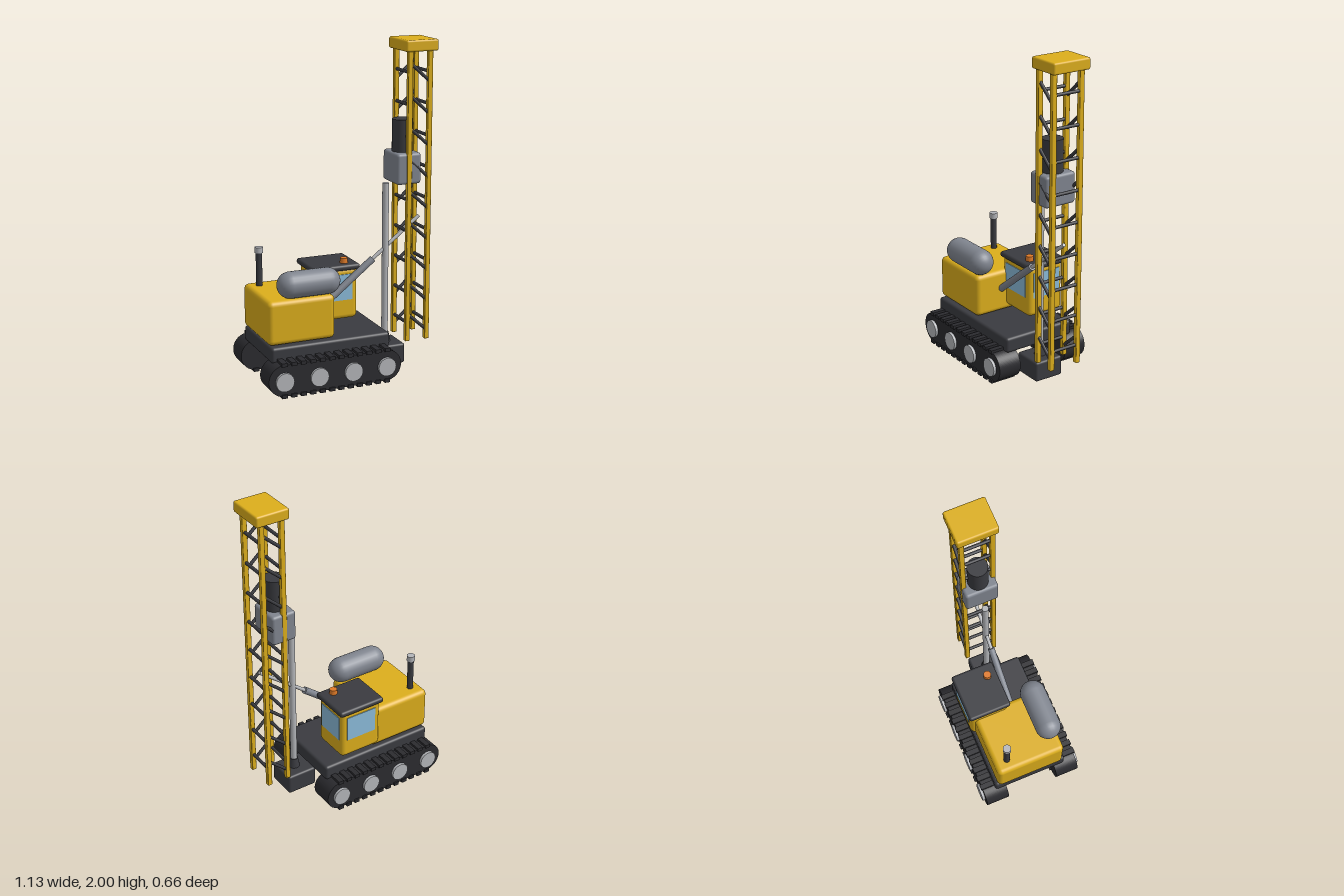
import * as THREE from 'three';
import { RoundedBoxGeometry } from 'three/addons/geometries/RoundedBoxGeometry.js';

const mat = (color) => new THREE.MeshStandardMaterial({ color });
const yellow = mat(0xdcae1c), dark = mat(0x3a3b40), black = mat(0x2b2b2f), grey = mat(0x80858f);
const silver = mat(0xb4b6ba), glass = mat(0x8bbbd9), orange = mat(0xe07b28);

export function createModel() {
  const model = new THREE.Group();
  model.name = 'drillingRig';

  const add = (name, geometry, material, parent = model) => {
    const mesh = new THREE.Mesh(geometry, material);
    mesh.name = name;
    parent.add(mesh);
    return mesh;
  };
  const group = (name) => {
    const g = new THREE.Group();
    g.name = name;
    model.add(g);
    return g;
  };
  // Box given by its extents, with rounded edges when r > 0
  const box = (name, [x0, x1], [y0, y1], [z0, z1], r, material, parent) => {
    const size = [x1 - x0, y1 - y0, z1 - z0];
    const geometry = r ? new RoundedBoxGeometry(...size, 3, r) : new THREE.BoxGeometry(...size);
    const mesh = add(name, geometry, material, parent);
    mesh.position.set((x0 + x1) / 2, (y0 + y1) / 2, (z0 + z1) / 2);
    return mesh;
  };
  // Cylinder running from point a to point b
  const rod = (name, a, b, r0, r1, material, parent, sides = 24) => {
    const from = new THREE.Vector3(...a), to = new THREE.Vector3(...b);
    const dir = to.clone().sub(from);
    const mesh = add(name, new THREE.CylinderGeometry(r1, r0, dir.length(), sides), material, parent);
    mesh.position.copy(from).add(to).multiplyScalar(0.5);
    mesh.quaternion.setFromUnitVectors(new THREE.Vector3(0, 1, 0), dir.normalize());
    return mesh;
  };

  // Crawler tracks: stadium belt, grouser pads and four road wheels per side
  const rear = -0.473, front = 0.173, cy = 0.105, r = 0.095;
  const belt = new THREE.Shape();
  belt.absarc(front, cy, r, -Math.PI / 2, Math.PI / 2, false);
  belt.absarc(rear, cy, r, Math.PI / 2, Math.PI * 1.5, false);
  for (const side of [1, -1]) {
    const track = group(side > 0 ? 'leftTrack' : 'rightTrack');
    const beltGeometry = new THREE.ExtrudeGeometry(belt, { depth: 0.148, bevelEnabled: false, curveSegments: 20 });
    add('belt', beltGeometry, black, track).position.z = side * 0.239 - 0.074;
    for (let i = 0; i < 12; i++) {
      const x = rear + i * 0.0591;
      for (const y of [0, 0.192]) {
        box('trackPad', [x - 0.017, x + 0.017], [y, y + 0.022], [side * 0.239 - 0.083, side * 0.239 + 0.083], 0, black, track);
      }
    }
    for (let i = 0; i < 4; i++) {
      const x = rear + (i * (front - rear)) / 3;
      rod('roadWheel', [x, 0.1, side * 0.29], [x, 0.1, side * 0.33], 0.056, 0.056, silver, track);
    }
  }

  // Chassis and mast foot
  box('chassis', [-0.52, 0.23], [0.185, 0.28], [-0.236, 0.236], 0.018, dark);
  box('mastFoot', [0.19, 0.383], [0.03, 0.155], [-0.057, 0.133], 0.015, dark);

  // Engine housing, fuel tank and exhaust
  box('engineHousing', [-0.53, -0.113], [0.285, 0.55], [-0.22, 0.218], 0.03, yellow);
  const tank = add('tank', new THREE.CapsuleGeometry(0.079, 0.23, 8, 24), grey);
  tank.rotation.z = Math.PI / 2;
  tank.position.set(-0.263, 0.628, 0.168);
  rod('exhaustPipe', [-0.456, 0.53, -0.137], [-0.456, 0.755, -0.137], 0.019, 0.019, dark);
  rod('exhaustCap', [-0.456, 0.752, -0.137], [-0.456, 0.787, -0.137], 0.025, 0.025, silver);

  // Cab with windows, roof and beacon
  const cab = group('cab');
  box('cabBody', [-0.155, 0.124], [0.315, 0.635], [-0.246, 0.002], 0.03, yellow, cab);
  box('frontWindow', [0.1, 0.128], [0.437, 0.597], [-0.22, -0.03], 0, glass, cab);
  for (const z of [0.002, -0.246]) {
    box('sideWindow', [-0.115, 0.087], [0.437, 0.597], [z - 0.004, z + 0.004], 0, glass, cab);
  }
  box('cabRoof', [-0.172, 0.138], [0.62, 0.656], [-0.26, 0.012], 0.016, dark, cab);
  rod('beacon', [0.055, 0.65, -0.051], [0.055, 0.686, -0.051], 0.025, 0.023, orange, cab);

  // Lattice mast: four posts, side diagonals and ladder rungs
  const mast = group('mast');
  const xs = [0.394, 0.523], zs = [-0.055, 0.13], zc = 0.0375;
  for (const x of xs) for (const z of zs) {
    box('mastPost', [x - 0.015, x + 0.015], [0.17, 1.95], [z - 0.015, z + 0.015], 0.005, yellow, mast);
  }
  for (let i = 0; i < 9; i++) {
    const y = 0.285 + i * 0.1907;
    zs.forEach((z, k) => {
      const rise = k ? -0.057 : 0.057;
      rod('diagonalBrace', [xs[0], y - rise, z], [xs[1], y + rise, z], 0.01, 0.01, dark, mast, 12);
    });
    for (const x of xs) rod('rung', [x, y, zs[0]], [x, y, zs[1]], 0.01, 0.01, dark, mast, 12);
  }
  box('mastCap', [0.358, 0.567], [1.932, 2], [-0.088, 0.16], 0.012, yellow, mast);

  // Drill head, motor, drill rod and bit collar
  box('drillHead', [0.317, 0.474], [1.145, 1.332], [-0.068, 0.138], 0.018, grey);
  rod('drillMotor', [0.394, 1.32, zc], [0.394, 1.526, zc], 0.062, 0.062, dark);
  rod('drillRod', [0.288, 0.2, zc], [0.288, 1.145, zc], 0.02, 0.02, silver);
  rod('drillCollar', [0.288, 0.15, zc], [0.288, 0.215, zc], 0.036, 0.025, dark);

  // Hydraulic ram raising the mast
  rod('ramBarrel', [-0.115, 0.435, zc], [0.205, 0.685, zc], 0.021, 0.021, grey);
  rod('ramPiston', [0.19, 0.674, zc], [0.51, 0.924, zc], 0.011, 0.011, silver);

  return model;
}
